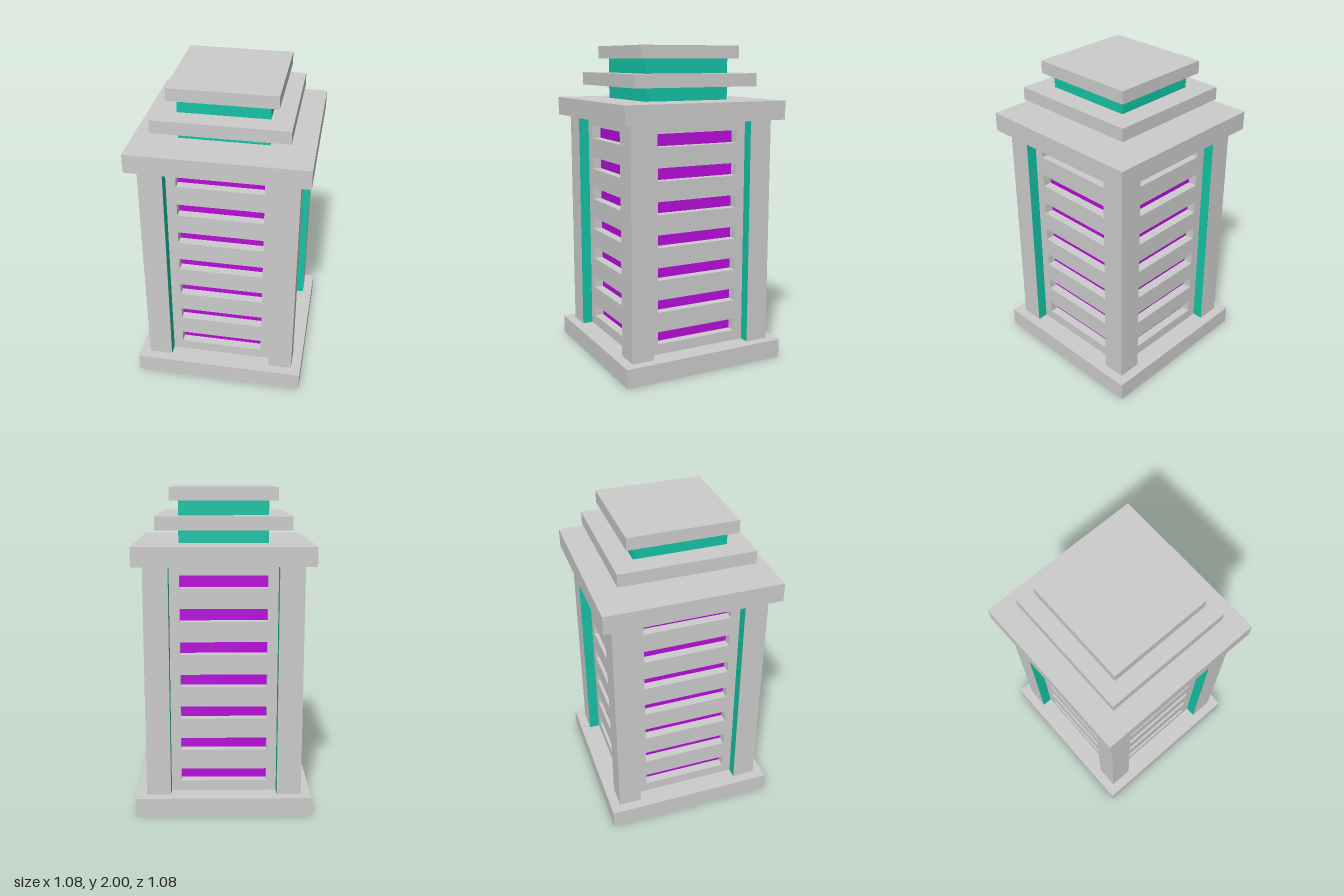
import * as THREE from 'three';

const GREY = new THREE.MeshStandardMaterial({ color: 0xcccccc, flatShading: true });
const TEAL = new THREE.MeshStandardMaterial({ color: 0x14c3a5, flatShading: true });
const PURPLE = new THREE.MeshStandardMaterial({ color: 0xb80cdc, flatShading: true });

const WALL_BOTTOM = 0.12, WALL_TOP = 1.55;
const POST_OUT = 0.48, POST_X = 0.33, POST_Z = 0.335; // outer face, inner faces
const PANEL_OUT = 0.413, PANEL_IN = 0.355;

// Box centred on the vertical axis, given half sizes and a height range
function block(name, hx, hz, y0, y1, material) {
  const mesh = new THREE.Mesh(new THREE.BoxGeometry(hx * 2, y1 - y0, hz * 2), material);
  mesh.position.y = (y0 + y1) / 2;
  mesh.name = name;
  return mesh;
}

function rect(path, half, y0, y1) {
  return path.moveTo(-half, y0).lineTo(half, y0).lineTo(half, y1).lineTo(-half, y1).closePath();
}

// Wall panel with a column of horizontal slots
function slottedPanel(half, slotHalf) {
  const shape = rect(new THREE.Shape(), half, WALL_BOTTOM, WALL_TOP);
  for (let i = 0; i < 7; i++) {
    const y = 0.186 + i * 0.2035;
    shape.holes.push(rect(new THREE.Path(), slotHalf, y, y + 0.079));
  }
  const geometry = new THREE.ExtrudeGeometry(shape, { depth: PANEL_OUT - PANEL_IN, bevelEnabled: false });
  return geometry.translate(0, 0, PANEL_IN);
}

// Corner post with teal linings on the two reveals beside the panels
function cornerPost(sx, sz) {
  const group = new THREE.Group();
  group.name = 'cornerPost';
  const height = WALL_TOP - WALL_BOTTOM, y = (WALL_TOP + WALL_BOTTOM) / 2;
  const post = new THREE.Mesh(new THREE.BoxGeometry(POST_OUT - POST_X, height, POST_OUT - POST_Z), GREY);
  post.position.set(sx * (POST_OUT + POST_X) / 2, y, sz * (POST_OUT + POST_Z) / 2);
  post.name = 'post';
  group.add(post);

  const lining = new THREE.PlaneGeometry(POST_OUT - PANEL_OUT, height);
  const mid = (POST_OUT + PANEL_OUT) / 2, proud = 0.002;
  const liningX = new THREE.Mesh(lining, TEAL);
  liningX.position.set(sx * (POST_X - proud), y, sz * mid);
  liningX.rotation.y = -sx * Math.PI / 2;
  const liningZ = new THREE.Mesh(lining, TEAL);
  liningZ.position.set(sx * mid, y, sz * (POST_Z - proud));
  liningZ.rotation.y = sz > 0 ? Math.PI : 0;
  liningX.name = liningZ.name = 'postLining';
  group.add(liningX, liningZ);
  return group;
}

export function createModel() {
  const model = new THREE.Group();
  model.name = 'lanternTower';

  // Base, glowing core, and stacked cap
  model.add(
    block('base', 0.542, 0.542, 0, WALL_BOTTOM, GREY),
    block('glowingCore', PANEL_IN, PANEL_IN, WALL_BOTTOM, WALL_TOP, PURPLE),
    block('roofSlab', 0.542, 0.542, WALL_TOP, 1.667, GREY),
    block('neck', 0.274, 0.284, 1.667, 1.922, TEAL),
    block('middleSlab', 0.408, 0.416, 1.752, 1.832, GREY),
    block('topSlab', 0.326, 0.336, 1.922, 2, GREY),
  );

  // Four slotted walls
  const wide = slottedPanel(POST_X, 0.266), deep = slottedPanel(POST_Z, 0.274);
  for (let i = 0; i < 4; i++) {
    const panel = new THREE.Mesh(i % 2 ? deep : wide, GREY);
    panel.rotation.y = i * Math.PI / 2;
    panel.name = 'slottedPanel';
    model.add(panel);
  }

  // Four corner posts
  for (const sx of [-1, 1]) for (const sz of [-1, 1]) model.add(cornerPost(sx, sz));

  return model;
}
